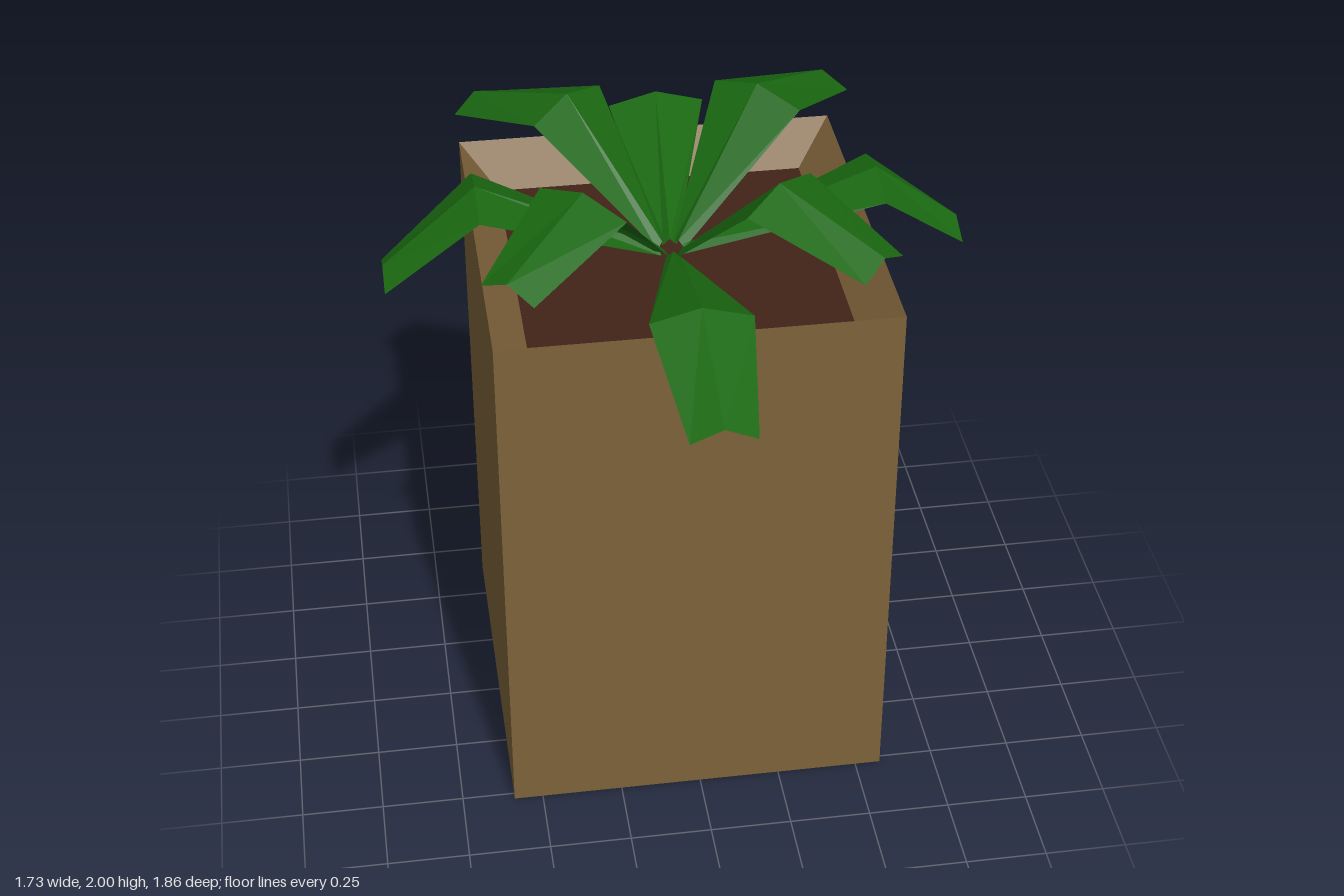
import * as THREE from 'three';

const mat = (color) => new THREE.MeshStandardMaterial({ color, flatShading: true, side: THREE.DoubleSide });

// Creased leaf growing along +z: each section is [z, sideways offset, half width, ridge height, edge drop]
function leafGeometry(sections) {
  const positions = [], index = [];
  sections.forEach(([z, off, w, y, drop], i) => {
    positions.push(off - w, y - drop, z, off, y, z, off + w, y - drop, z);
    if (i === 0) return;
    for (let j = 0; j < 2; j++) {
      const a = (i - 1) * 3 + j, c = a + 3;
      index.push(a, c, a + 1, a + 1, c, c + 1);
    }
  });
  const g = new THREE.BufferGeometry();
  g.setAttribute('position', new THREE.Float32BufferAttribute(positions, 3));
  g.setIndex(index);
  g.computeVertexNormals();
  return g;
}

export function createModel() {
  const model = new THREE.Group();
  model.name = 'pottedPlant';
  const body = new THREE.Group();
  body.name = 'planterWithPlant';
  body.position.set(-0.005, 0, -0.06);
  model.add(body);

  // Square planter with a rim sloping inward to the soil
  const half = 0.584, inner = 0.475, soilY = 1.58;
  const profile = [[0, 0], [half, 0], [half, 1.7], [inner, soilY]]
    .map(([r, y]) => new THREE.Vector2(r * Math.SQRT2, y));
  const planter = new THREE.Mesh(new THREE.LatheGeometry(profile, 4, Math.PI / 4), mat(0x7e623a));
  planter.name = 'planter';
  body.add(planter);

  // Soil
  const soil = new THREE.Mesh(new THREE.PlaneGeometry(inner * 2, inner * 2).rotateX(-Math.PI / 2), mat(0x422319));
  soil.name = 'soil';
  soil.position.y = soilY;
  body.add(soil);

  // Leaves: [angle, bend reach, bend offset, bend height, tip reach, tip offset]
  const leaves = [
    // low, spreading leaves
    [0, 0.62, -0.005, 1.81, 0.99, 0],
    [90, 0.62, 0.03, 1.83, 0.867, 0],
    [180, 0.62, -0.04, 1.81, 0.87, -0.035],
    [-90, 0.575, -0.035, 1.86, 0.86, 0.035],
    // upright diagonal leaves
    [45, 0.403, -0.03, 2, 0.767, -0.036],
    [-45, 0.402, -0.01, 2, 0.766, 0.01],
    [-135, 0.403, -0.02, 2, 0.77, -0.02],
    [135, 0.41, -0.015, 2, 0.772, -0.01],
  ];
  const green = mat(0x1a6811);
  const foliage = new THREE.Group();
  foliage.name = 'foliage';
  body.add(foliage);
  for (const [angle, bend, bendOff, bendY, tip, tipOff] of leaves) {
    const upright = bendY === 2;
    const leaf = new THREE.Mesh(leafGeometry([
      [0.035, 0, 0.022, 1.63, 0.02],
      [bend, bendOff, upright ? 0.156 : 0.148, bendY, 0.04],
      [tip, tipOff, 0.095, upright ? 1.89 : 1.66, 0.04],
    ]), green);
    leaf.name = upright ? 'uprightLeaf' : 'lowLeaf';
    leaf.rotation.y = THREE.MathUtils.degToRad(angle);
    foliage.add(leaf);
  }
  return model;
}
